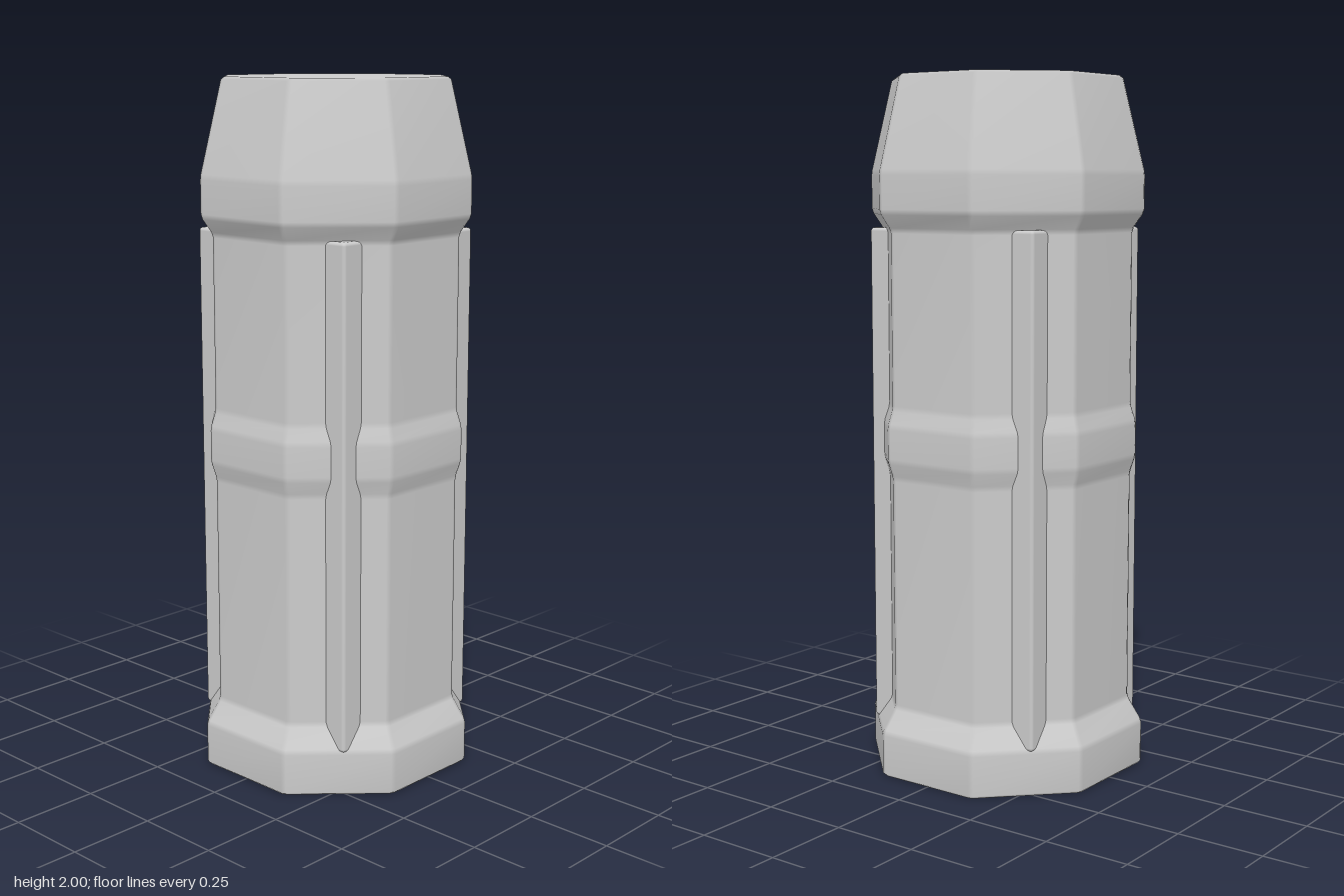
import * as THREE from 'three';
import { RoundedBoxGeometry } from 'three/addons/geometries/RoundedBoxGeometry.js';

const SIDES = 8;
const material = new THREE.MeshStandardMaterial({ color: 0xcccccc });

// Cut every inner corner of a profile so its edges become narrow bevels
function bevelProfile(points, size) {
  const pts = points.map(([r, y]) => new THREE.Vector2(r, y));
  const out = [];
  pts.forEach((p, i) => {
    if (i === 0 || i === pts.length - 1) return out.push(p);
    for (const q of [pts[i - 1], pts[i + 1]]) {
      out.push(p.clone().add(q.clone().sub(p).setLength(size)));
    }
  });
  return out;
}

// Octagonal column: each profile point is [apothem, height]; corners are bevelled
function octagonColumn(profile, bevel) {
  const positions = [], index = [];
  const ring = SIDES * 2;
  const rows = bevelProfile(profile, bevel);
  for (const { x: r, y } of rows) {
    const half = Math.max(r * Math.tan(Math.PI / SIDES) - bevel, 0);
    for (let k = 0; k < SIDES; k++) {
      const a = (k / SIDES) * Math.PI * 2;
      for (const s of [-half, half]) {
        positions.push(
          Math.sin(a) * r + Math.cos(a) * s, y,
          Math.cos(a) * r - Math.sin(a) * s
        );
      }
    }
  }
  for (let j = 0; j < rows.length - 1; j++) {
    for (let i = 0; i < ring; i++) {
      const a = j * ring + i, b = j * ring + (i + 1) % ring;
      const c = a + ring, d = b + ring;
      index.push(a, b, d, a, d, c);
    }
  }
  const geometry = new THREE.BufferGeometry();
  geometry.setAttribute('position', new THREE.Float32BufferAttribute(positions, 3));
  geometry.setIndex(index);
  geometry.computeVertexNormals(); // area weighting keeps the large faces flat
  return geometry;
}

export function createModel() {
  const group = new THREE.Group();
  group.name = 'bollard';

  // Base, shaft, middle band and tapered cap in one profile
  const body = new THREE.Mesh(octagonColumn([
    [0, 0],
    [0.382, 0], [0.382, 0.13],          // base
    [0.343, 0.2], [0.343, 0.87],        // lower shaft
    [0.358, 0.92], [0.358, 1.02],       // band
    [0.343, 1.07], [0.343, 1.57],       // upper shaft
    [0.375, 1.62], [0.375, 1.73],       // cap
    [0.314, 2],
    [0, 2],
  ], 0.008), material);
  body.name = 'column';
  group.add(body);

  // Square ribs set into the four diagonal faces
  const width = 0.09, bottom = 0.13, top = 1.575;
  const ribGeometry = new RoundedBoxGeometry(width, top - bottom, width, 2, 0.01);
  for (const sx of [-1, 1]) {
    for (const sz of [-1, 1]) {
      const rib = new THREE.Mesh(ribGeometry, material);
      rib.name = `${sz > 0 ? 'front' : 'back'}${sx > 0 ? 'Left' : 'Right'}Rib`;
      rib.position.set(sx * (0.267 - width / 2), (top + bottom) / 2, sz * (0.287 - width / 2));
      group.add(rib);
    }
  }
  return group;
}
